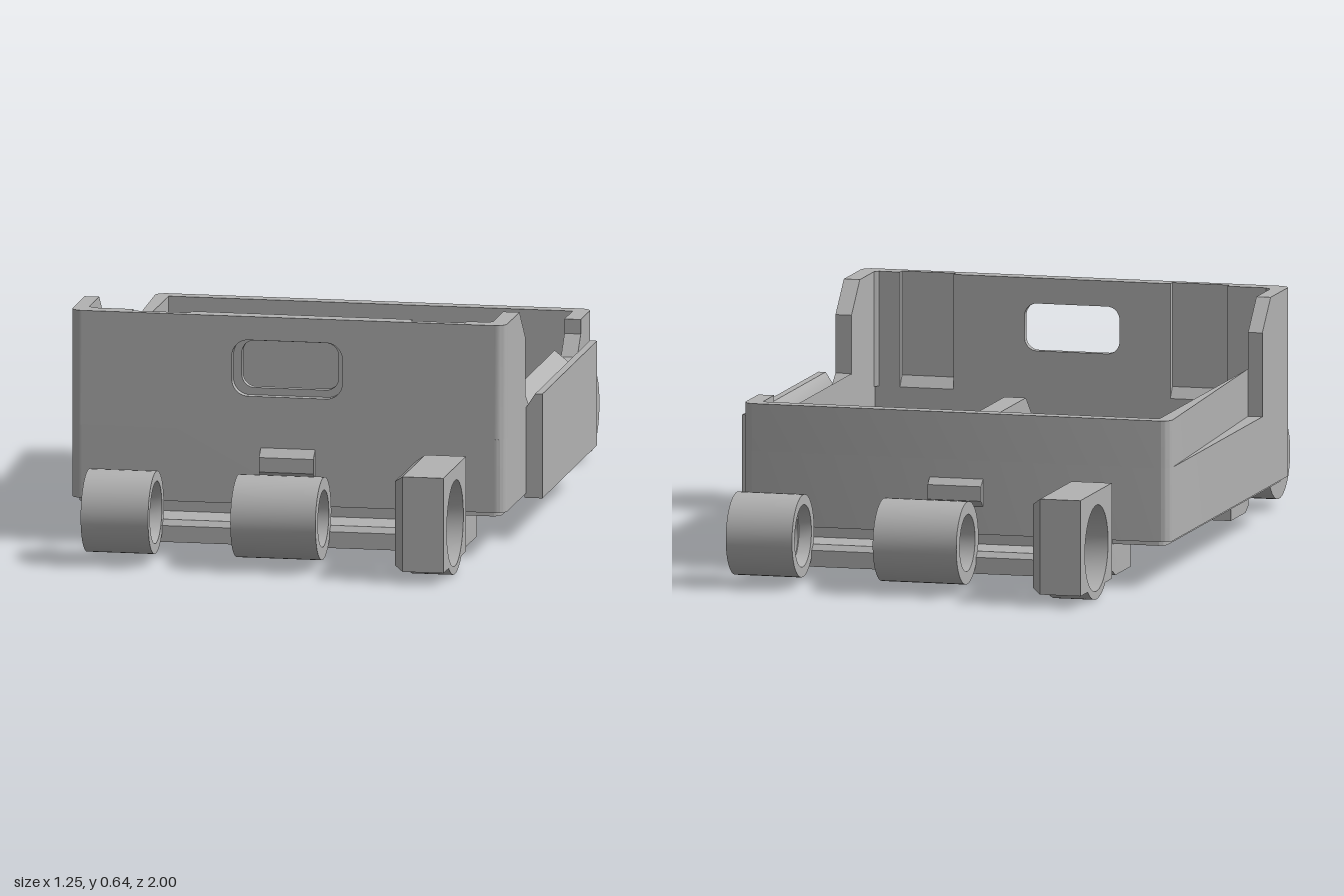
import * as THREE from 'three';
import { toCreasedNormals } from 'three/addons/utils/BufferGeometryUtils.js';

const grey = new THREE.MeshStandardMaterial({ color: 0xb2b2b2 });
grey.name = 'grey plastic';

function add(parent, name, geometry) {
  const mesh = new THREE.Mesh(toCreasedNormals(geometry, 0.6), grey);
  mesh.name = name;
  parent.add(mesh);
  return mesh;
}

// Box given by its two corners
function box(x0, x1, y0, y1, z0, z1) {
  return new THREE.BoxGeometry(x1 - x0, y1 - y0, z1 - z0)
    .translate((x0 + x1) / 2, (y0 + y1) / 2, (z0 + z1) / 2);
}

const poly = (pts) => new THREE.Shape(pts.map(([a, b]) => new THREE.Vector2(a, b)));
const extrude = (shape, depth) =>
  new THREE.ExtrudeGeometry(shape, { depth, bevelEnabled: false, curveSegments: 24 });
// Extrude a (z, y) outline along x, an (x, z) outline along y, an (x, y) outline along z
const alongX = (shape, x0, x1) => extrude(shape, x1 - x0).rotateY(-Math.PI / 2).translate(x1, 0, 0);
const alongY = (shape, y0, y1) => extrude(shape, y1 - y0).rotateX(Math.PI / 2).translate(0, y1, 0);
const alongZ = (shape, z0, z1) => extrude(shape, z1 - z0).translate(0, 0, z0);

function roundRect(x0, x1, y0, y1, r, Type = THREE.Shape) {
  const s = new Type();
  s.absarc(x1 - r, y1 - r, r, 0, Math.PI / 2);
  s.absarc(x0 + r, y1 - r, r, Math.PI / 2, Math.PI);
  s.absarc(x0 + r, y0 + r, r, Math.PI, Math.PI * 1.5);
  s.absarc(x1 - r, y0 + r, r, Math.PI * 1.5, Math.PI * 2);
  s.closePath();
  return s;
}

function circleHole(z, y, r) {
  const p = new THREE.Path();
  p.absarc(z, y, r, 0, Math.PI * 2, true);
  return p;
}

// Lathe around the x axis through the hinge line; points are [radius, x]
const PIN = { y: 0.138, z: 0.828 };
function turned(points) {
  return new THREE.LatheGeometry(points.map(([r, x]) => new THREE.Vector2(r, x)), 40)
    .rotateZ(-Math.PI / 2).translate(0, PIN.y, PIN.z);
}

function buildTray(root) {
  const tray = new THREE.Group();
  tray.name = 'tray';
  root.add(tray);

  // Floor with a grid of square vents
  const floor = roundRect(-0.608, 0.558, -0.598, 0.593, 0.025);
  for (let i = 0; i < 6; i++) {
    for (let j = 0; j < 8; j++) {
      const x = 0.158 + i * 0.0615, z = -0.245 + j * 0.0615, h = 0.0175;
      floor.holes.push(new THREE.Path([[-h, -h], [-h, h], [h, h], [h, -h]]
        .map(([a, b]) => new THREE.Vector2(x + a, z + b))));
    }
  }
  add(tray, 'floor', alongY(floor, 0.115, 0.16));

  // Lower wall all round
  const ring = roundRect(-0.625, 0.575, -0.615, 0.61, 0.03);
  ring.holes.push(new THREE.Path([[-0.585, -0.575], [-0.585, 0.565], [0.53, 0.565], [0.53, -0.575]]
    .map(([a, b]) => new THREE.Vector2(a, b))));
  add(tray, 'lowerWall', alongY(ring, 0.128, 0.33));

  // Upper wall: right side, back, and the short left return
  const upper = new THREE.Shape();
  upper.moveTo(-0.625, 0.325);
  upper.absarc(-0.595, -0.585, 0.03, Math.PI, Math.PI * 1.5);
  upper.absarc(0.545, -0.585, 0.03, Math.PI * 1.5, Math.PI * 2);
  [[0.575, -0.46], [0.53, -0.46], [0.53, -0.575], [-0.585, -0.575], [-0.585, 0.325]]
    .forEach(([a, b]) => upper.lineTo(a, b));
  upper.closePath();
  add(tray, 'upperWall', alongY(upper, 0.33, 0.46));

  // Lowered left wall with sloped ends
  add(tray, 'loweredWall', alongX(poly([[-0.46, 0.33], [0.325, 0.33], [0.325, 0.4], [0.28, 0.365],
    [-0.41, 0.365], [-0.46, 0.42]]), 0.53, 0.575));
  add(tray, 'loweredWallLip', alongZ(poly([[0.53, 0.33], [0.574, 0.33], [0.574, 0.365], [0.53, 0.4]]), -0.32, 0.32));

  // Side panel standing out from the left wall
  add(tray, 'sidePanel', alongZ(poly([[0.57, 0.115], [0.62, 0.115], [0.62, 0.403], [0.6, 0.403],
    [0.575, 0.365]]), -0.46, 0.315));

  // High front wall: outer layer has the wider handle rim
  const outer = poly([[-0.595, 0.33], [0.545, 0.33], [0.545, 0.645], [-0.595, 0.645]]);
  outer.holes.push(roundRect(-0.18, 0.125, 0.425, 0.58, 0.045, THREE.Path));
  add(tray, 'frontWallOuter', alongZ(outer, 0.586, 0.61));
  // Inner layer leaves two shallow slots
  const inner = poly([[-0.3, 0.33], [0.31, 0.33], [0.31, 0.645], [-0.3, 0.645]]);
  inner.holes.push(roundRect(-0.157, 0.11, 0.445, 0.575, 0.035, THREE.Path));
  add(tray, 'frontWallInner', alongZ(inner, 0.565, 0.586));
  add(tray, 'frontWallInnerRight', box(-0.59, -0.46, 0.33, 0.645, 0.565, 0.586));
  add(tray, 'frontWallInnerLeft', box(0.46, 0.535, 0.33, 0.645, 0.565, 0.586));
  const slotFoot = poly([[0.565, 0.33], [0.586, 0.33], [0.586, 0.36]]);
  add(tray, 'slotFootRight', alongX(slotFoot, -0.46, -0.3));
  add(tray, 'slotFootLeft', alongX(slotFoot, 0.31, 0.46));

  // Chamfered cheeks and rounded corners beside the front wall
  const cheek = poly([[0.325, 0.33], [0.58, 0.33], [0.58, 0.645], [0.41, 0.645], [0.325, 0.56]]);
  add(tray, 'cheekRight', alongX(cheek, -0.625, -0.585));
  add(tray, 'cheekLeft', alongX(cheek, 0.53, 0.575));
  for (const x of [-0.595, 0.545]) {
    add(tray, 'frontCorner', new THREE.CylinderGeometry(0.03, 0.03, 0.315, 24).translate(x, 0.4875, 0.58));
  }

  // Divider with a low rear part and a ramp at its front
  add(tray, 'divider', alongX(poly([[-0.58, 0.15], [0.51, 0.15], [0.51, 0.165], [0.29, 0.36],
    [-0.33, 0.36], [-0.33, 0.3], [-0.58, 0.3]]), 0.03, 0.09));
  add(tray, 'frontLedge', box(0.03, 0.31, 0.15, 0.185, 0.505, 0.57));
}

// One hinge side: mounting bar, two barrels, end bracket and latch
function buildHinge(name) {
  const hinge = new THREE.Group();
  hinge.name = name;

  // Mounting bar under the tray, narrowing outwards
  const bar = alongX(poly([[0.42, 0.12], [0.42, 0.025], [0.57, 0.025], [0.6, 0.04], [0.74, 0.04],
    [0.74, 0.085], [0.725, 0.1], [0.605, 0.1], [0.605, 0.13], [0.585, 0.13]]), -0.51, 0.46);
  const p = bar.attributes.position;
  for (let i = 0; i < p.count; i++) {
    if (p.getZ(i) > 0.7) p.setX(i, p.getX(i) < 0 ? -0.45 : 0.37);
  }
  bar.computeVertexNormals();
  add(hinge, 'mountingBar', bar);

  // Open middle barrel and blind end barrel
  add(hinge, 'middleBarrel', turned([[0.078, -0.12], [0.113, -0.12], [0.113, 0.115],
    [0.078, 0.115], [0.078, -0.12]]));
  add(hinge, 'endBarrel', turned([[0, -0.533], [0.113, -0.533], [0.113, -0.347], [0.085, -0.347],
    [0.078, -0.38], [0.07, -0.38], [0.07, -0.41], [0.078, -0.41], [0.078, -0.44],
    [0.06, -0.44], [0.06, -0.5], [0, -0.5]]));

  // End bracket: square block, rounded below, with a stepped bore
  const bracketLayer = (r, x0, x1) => {
    const s = new THREE.Shape();
    s.moveTo(0.68, 0.295);
    s.lineTo(0.68, 0.033);
    s.absarc(0.835, 0.14, 0.14, -Math.PI * 0.72, -Math.PI * 0.28);
    s.lineTo(1, 0.033);
    s.lineTo(1, 0.295);
    s.closePath();
    s.holes.push(circleHole(0.835, 0.14, r));
    return alongX(s, x0, x1);
  };
  const face = bracketLayer(0.06, 0.342, 0.367);
  const q = face.attributes.position;
  for (let i = 0; i < q.count; i++) {
    const z = q.getZ(i) - 0.838, y = q.getY(i) - 0.148;
    if (q.getX(i) < 0.35 && Math.hypot(z, y) > 0.1) {
      q.setZ(i, 0.838 + z * 0.88);
      q.setY(i, 0.148 + y * 0.88);
    }
  }
  face.computeVertexNormals();
  add(hinge, 'bracketFace', face);
  add(hinge, 'bracketStep', bracketLayer(0.085, 0.367, 0.4));
  add(hinge, 'bracketRim', bracketLayer(0.118, 0.4, 0.48));

  // Latch on the tray wall
  add(hinge, 'latch', alongX(poly([[0.6, 0.2], [0.61, 0.2], [0.636, 0.222], [0.636, 0.262],
    [0.61, 0.284], [0.6, 0.284]]), -0.1, 0.05));
  return hinge;
}

export function createModel() {
  const root = new THREE.Group();
  root.name = 'hingedTray';
  buildTray(root);
  root.add(buildHinge('frontHinge'));
  const back = buildHinge('backHinge');
  back.rotation.y = Math.PI;
  // Keep the back latch in line with the front one
  back.getObjectByName('latch').position.x = 0.05;
  root.add(back);
  return root;
}
